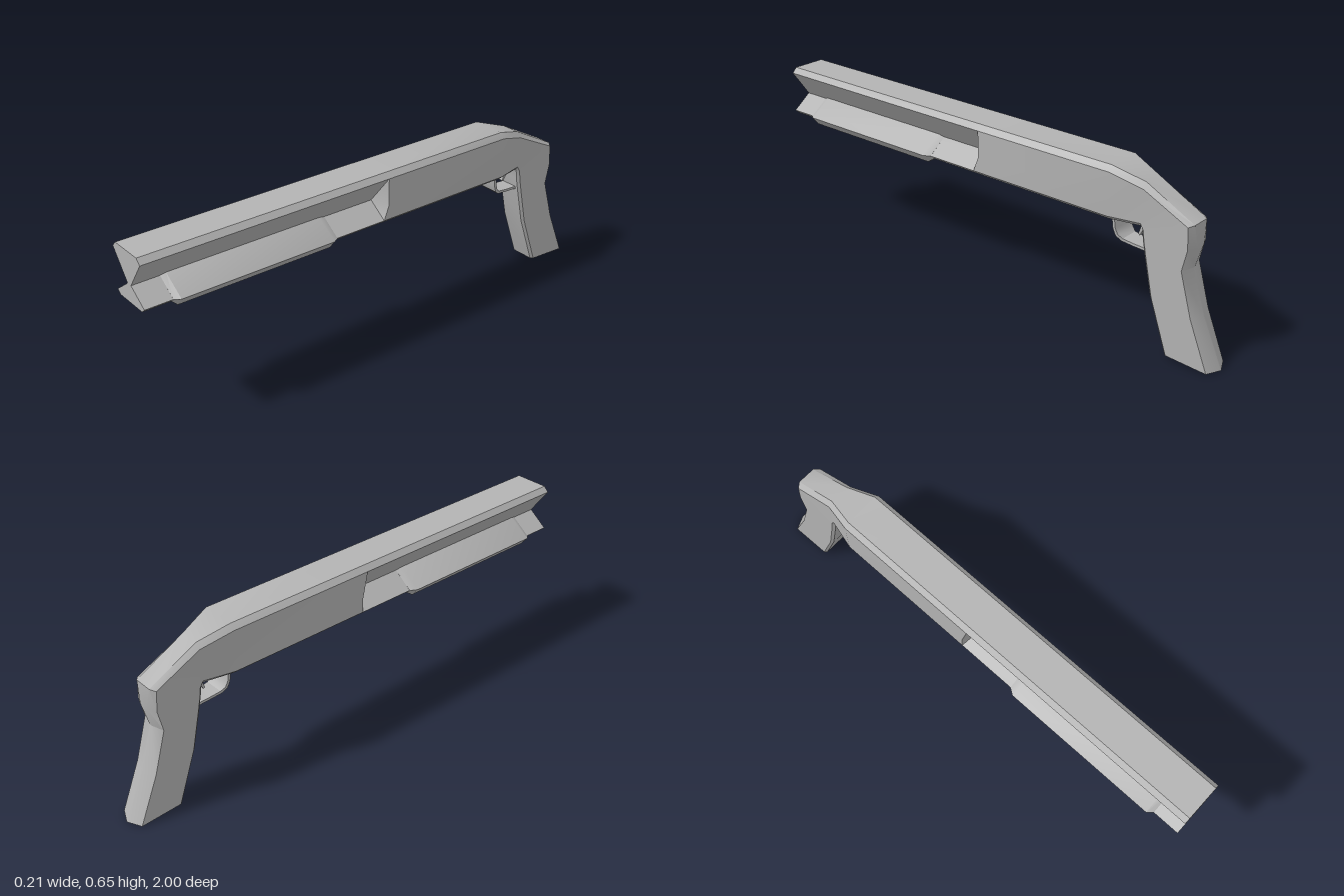
import * as THREE from 'three';
import { toCreasedNormals } from 'three/addons/utils/BufferGeometryUtils.js';

const gunGrey = new THREE.MeshStandardMaterial({ color: 0xb3b3b3 });
gunGrey.name = 'gunGrey';

// Loft through stations running front to back. Each station is half a symmetric
// section: [x, y, z] points from its lower to its upper edge.
function loft(name, stations) {
  const pos = [];
  const quad = (a, b, c, d) => pos.push(...a, ...b, ...c, ...a, ...c, ...d);
  const mirror = ([x, y, z]) => [-x, y, z];
  const rings = stations.map((h) => [...h, ...h.map(mirror).reverse()]);
  for (let i = 0; i < rings.length - 1; i++) {
    const r = rings[i], s = rings[i + 1], n = r.length;
    for (let j = 0; j < n; j++) {
      const k = (j + 1) % n;
      quad(r[j], s[j], s[k], r[k]);
    }
  }
  const first = stations[0], last = stations[stations.length - 1];
  for (let j = 0; j < first.length - 1; j++) {
    quad(first[j], first[j + 1], mirror(first[j + 1]), mirror(first[j]));
    quad(mirror(last[j]), mirror(last[j + 1]), last[j + 1], last[j]);
  }
  const geo = new THREE.BufferGeometry();
  geo.setAttribute('position', new THREE.Float32BufferAttribute(pos, 3));
  geo.computeVertexNormals();
  const mesh = new THREE.Mesh(toCreasedNormals(geo, 0.5), gunGrey);
  mesh.name = name;
  return mesh;
}

// Section of the body: bevelled on the inner edge I and the outer edge O
function bodySection([iz, iy, oz, oy, side, inner, outer, bevelIn, bevelOut]) {
  const len = Math.hypot(oz - iz, oy - iy);
  const at = (x, d) => [x, iy + ((oy - iy) * d) / len, iz + ((oz - iz) * d) / len];
  return [at(inner, 0), at(side, bevelIn), at(side, len - bevelOut), at(outer, len)];
}

// Ribbon section: outer and inner edge points with a half width
const ribbonSection = ([oz, oy, iz, iy, w]) => [[w, oy, oz], [w, iy, iz]];

export function createModel() {
  const group = new THREE.Group();
  group.name = 'shotgun';

  // Receiver sweeping back and down into the grip
  group.add(loft('receiverAndGrip', [
    [0, 0.455, 0, 0.65, 0.087, 0.07, 0.068, 0.015, 0.02],
    [-0.57, 0.455, -0.57, 0.65, 0.087, 0.07, 0.068, 0.015, 0.02],
    [-0.685, 0.455, -0.69, 0.612, 0.056, 0.047, 0.038, 0.012, 0.02],
    [-0.69, 0.44, -0.88, 0.513, 0.056, 0.047, 0.036, 0.01, 0.015],
    [-0.693, 0.41, -0.886, 0.43, 0.056, 0.047, 0.02, 0.01, 0.015],
    [-0.705, 0.35, -0.868, 0.345, 0.056, 0.047, 0.004, 0.01, 0.015],
    [-0.735, 0.21, -0.92, 0.18, 0.056, 0.047, 0.002, 0.01, 0.02],
    [-0.805, 0.01, -1, 0, 0.056, 0.047, 0.001, 0.01, 0.025],
  ].map(bodySection)));

  // Barrel over magazine, pinched at the waist and flaring into the receiver
  const barrel = (z, waist) => [
    [0.07, 0.455, z], [0.087, 0.47, z], [waist, 0.525, z], [0.087, 0.63, z], [0.068, 0.65, z],
  ];
  group.add(loft('barrelAndMagazine', [barrel(1, 0.011), barrel(0.022, 0.011), barrel(0, 0.087)]));

  // Sliding fore-end wrapped around the magazine, with tapered ends
  const foreEnd = (z, full) => full
    ? [[0.075, 0.437, z], [0.105, 0.472, z], [0.015, 0.533, z]]
    : [[0.07, 0.455, z], [0.088, 0.47, z], [0.011, 0.525, z]];
  group.add(loft('foreEnd', [
    foreEnd(0.895, false), foreEnd(0.875, true), foreEnd(0.26, true), foreEnd(0.235, false),
  ]));

  // Trigger guard
  group.add(loft('triggerGuard', [
    [-0.565, 0.46, -0.575, 0.46, 0.048],
    [-0.572, 0.41, -0.582, 0.413, 0.048],
    [-0.582, 0.385, -0.591, 0.392, 0.045],
    [-0.602, 0.369, -0.607, 0.379, 0.038],
    [-0.65, 0.363, -0.65, 0.373, 0.035],
    [-0.71, 0.36, -0.71, 0.37, 0.035],
  ].map(ribbonSection)));

  // Trigger
  group.add(loft('trigger', [
    [-0.655, 0.46, -0.672, 0.46, 0.012],
    [-0.66, 0.43, -0.672, 0.428, 0.012],
    [-0.65, 0.402, -0.656, 0.397, 0.01],
  ].map(ribbonSection)));

  return group;
}
